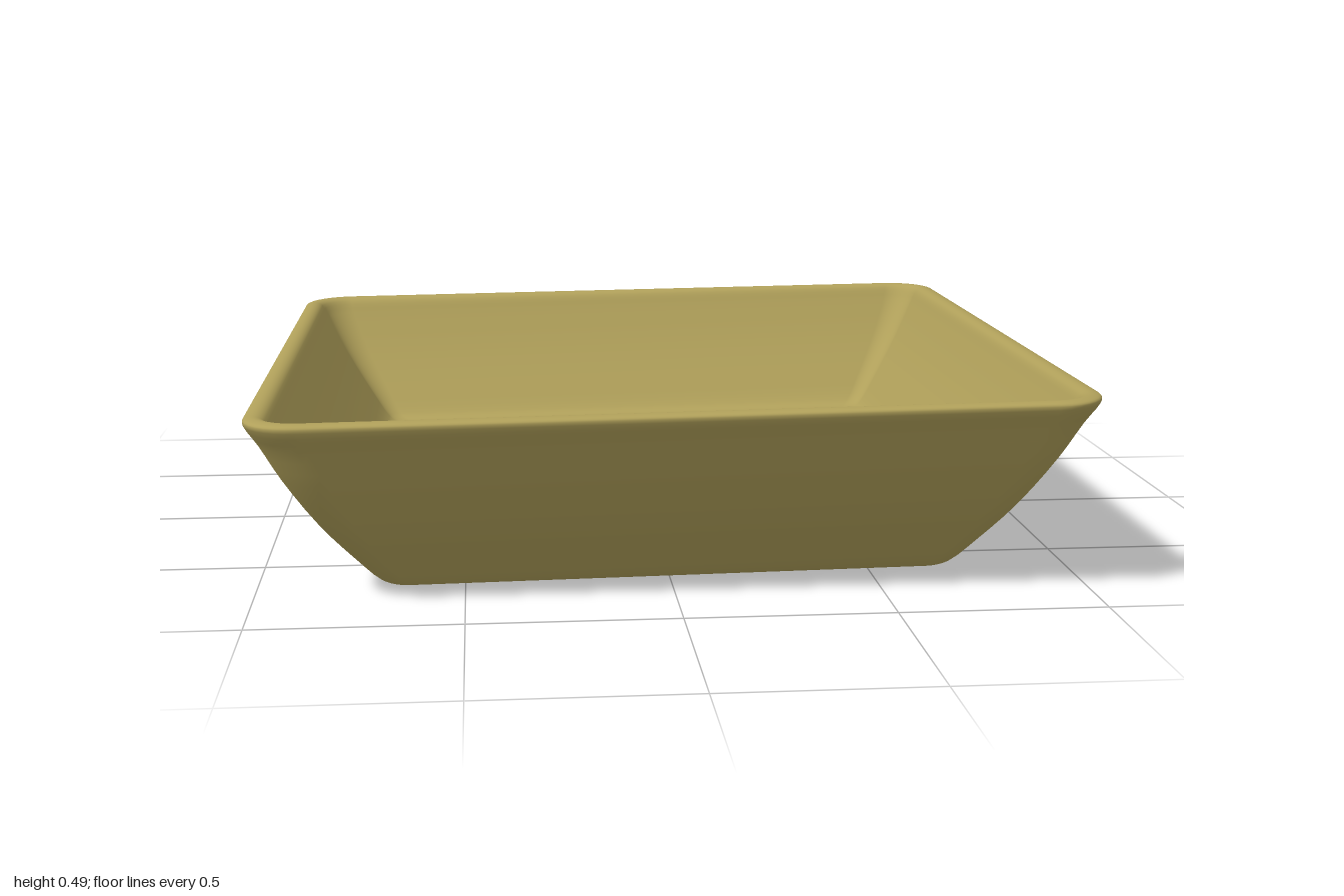
import * as THREE from 'three';

const CORNER_STEPS = 8;

// Wall section from the underside's centre, over the rim, to the floor's centre:
// half width, height, corner radius
const SECTION = [
  [0, 0.065, 0], [0.3, 0.065, 0.01], [0.6, 0.065, 0.03], [0.635, 0.058, 0.035],
  [0.652, 0.025, 0.04], [0.665, 0.006, 0.045], [0.685, 0.003, 0.055], [0.708, 0.014, 0.065],
  [0.765, 0.08, 0.08], [0.845, 0.185, 0.1], [0.92, 0.31, 0.115], [0.965, 0.4, 0.125],
  [0.994, 0.452, 0.13], [0.995, 0.464, 0.13], [0.982, 0.47, 0.12], [0.962, 0.47, 0.1],
  [0.946, 0.46, 0.085], [0.928, 0.425, 0.075], [0.87, 0.32, 0.06], [0.79, 0.2, 0.045],
  [0.74, 0.134, 0.035], [0.715, 0.12, 0.03], [0.68, 0.117, 0.03], [0.35, 0.117, 0.01],
  [0, 0.117, 0],
];

// One rounded square loop, with a slight rise towards +x
function addLoop(positions, half, height, radius) {
  const r = Math.max(radius, 0);
  const c = Math.max(half - r, 0);
  for (let corner = 0; corner < 4; corner++) {
    const mid = (corner + 0.5) * Math.PI / 2;
    const cx = Math.sign(Math.cos(mid)) * c;
    const cz = Math.sign(Math.sin(mid)) * c;
    for (let s = 0; s <= CORNER_STEPS; s++) {
      const a = (corner + s / CORNER_STEPS) * Math.PI / 2;
      const x = cx + r * Math.cos(a);
      positions.push(x, height + 0.013 * x + 0.005, cz + r * Math.sin(a));
    }
  }
}

// Skin the loops from underside to floor as one closed smooth shell
function dishGeometry() {
  const curve = new THREE.CatmullRomCurve3(SECTION.map((p) => new THREE.Vector3(...p)));
  const points = curve.getPoints((SECTION.length - 1) * 3);
  const positions = [];
  const index = [];
  const n = 4 * (CORNER_STEPS + 1);
  points.forEach((p) => addLoop(positions, p.x, p.y, p.z));
  for (let i = 0; i < points.length - 1; i++) {
    for (let j = 0; j < n; j++) {
      const k = (j + 1) % n;
      const a = i * n + j, b = a + n, c = i * n + k, d = c + n;
      index.push(a, b, c, c, b, d);
    }
  }
  const geometry = new THREE.BufferGeometry();
  geometry.setAttribute('position', new THREE.Float32BufferAttribute(positions, 3));
  geometry.setIndex(index);
  geometry.computeVertexNormals();
  return geometry;
}

export function createModel() {
  const group = new THREE.Group();
  group.name = 'squareDish';
  const clay = new THREE.MeshStandardMaterial({ color: 0xb0a05a });
  clay.name = 'olive clay';
  const dish = new THREE.Mesh(dishGeometry(), clay);
  dish.name = 'dishBody';
  group.add(dish);
  return group;
}
